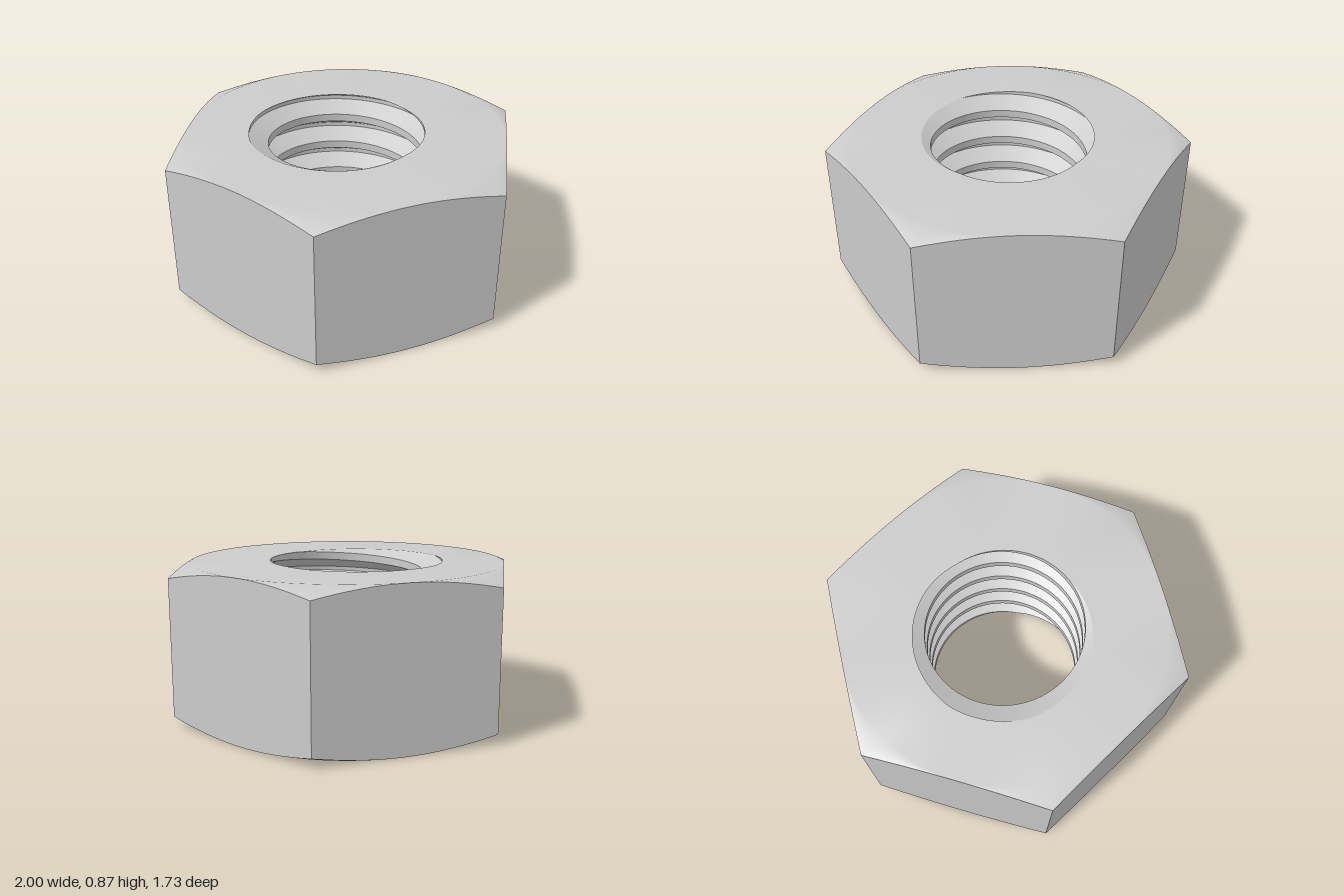
import * as THREE from 'three';
import { mergeGeometries } from 'three/addons/utils/BufferGeometryUtils.js';

const H = 0.866;          // nut height
const APOTHEM = 0.866;    // half the width across flats
const CHAMFER = 0.055;    // corner drop of the chamfer
const MINOR = 0.428, MAJOR = 0.53, PITCH = 0.1775;
const PHASE = 157;        // angle where a groove centre meets the top face
const ROOT = 23, FLANK = 135; // half widths of groove root and mouth, degrees
const SEG = 180;

// Bore radius at an angle (degrees) and height, following a right-hand thread
function boreRadius(deg, y) {
  const d = deg - PHASE - 360 * (y - H) / PITCH;
  const a = Math.abs(d - 360 * Math.round(d / 360));
  const t = THREE.MathUtils.clamp((FLANK - a) / (FLANK - ROOT), 0, 1);
  return MINOR + (MAJOR - MINOR) * t;
}

// Outer hexagon radius, corners on multiples of 60 degrees
function hexRadius(deg) {
  const a = (((deg % 60) + 60) % 60) - 30;
  return APOTHEM / Math.cos(THREE.MathUtils.degToRad(a));
}
const chamferDrop = (r) => CHAMFER * (r - APOTHEM) / (1 - APOTHEM);

// Skin joining rows around the axis; each row maps degrees to [radius, height]
function skin(rows, closed = true) {
  const cols = closed ? SEG : SEG + 1;
  const pos = [], index = [], pts = [];
  for (const row of rows) {
    for (let i = 0; i < cols; i++) {
      const deg = i * 360 / SEG, a = THREE.MathUtils.degToRad(deg);
      const [r, y] = row(deg);
      const p = new THREE.Vector3(r * Math.cos(a), y, -r * Math.sin(a));
      pts.push(p);
      pos.push(p.x, p.y, p.z);
    }
  }
  const tri = new THREE.Triangle();
  const add = (a, b, c) => {
    tri.set(pts[a], pts[b], pts[c]);
    if (tri.getArea() > 1e-9) index.push(a, b, c);
  };
  for (let j = 0; j < rows.length - 1; j++) {
    for (let i = 0; i < SEG; i++) {
      const n = (i + 1) % cols;
      const a = j * cols + i, b = j * cols + n;
      const c = a + cols, d = b + cols;
      add(a, b, d);
      add(a, d, c);
    }
  }
  const g = new THREE.BufferGeometry();
  g.setAttribute('position', new THREE.Float32BufferAttribute(pos, 3));
  g.setIndex(index);
  g.computeVertexNormals();
  return g;
}

// Helical thread, one smooth strip for each crest, flank and root, clipped to the nut
function threadGeometry() {
  const row = (d) => (deg) => {
    const y = THREE.MathUtils.clamp(H + PITCH * (deg - PHASE - d) / 360, 0, H);
    return [boreRadius(deg, y), y];
  };
  const breaks = [];
  for (let n = -2; n <= 7; n++) {
    for (const d of [-FLANK, -ROOT, ROOT, FLANK]) breaks.push(d + 360 * n);
  }
  const strips = [];
  for (let k = 0; k < breaks.length - 1; k++) {
    const g = skin([row(breaks[k]), row(breaks[k + 1])], false);
    if (g.index.count > 0) strips.push(g);
  }
  return mergeGeometries(strips);
}

export function createModel() {
  const nut = new THREE.Group();
  nut.name = 'hexNut';
  const smooth = new THREE.MeshStandardMaterial({ color: 0xcccccc });
  const flat = new THREE.MeshStandardMaterial({ color: 0xcccccc, flatShading: true });
  const add = (name, geometry, material) => {
    const mesh = new THREE.Mesh(geometry, material);
    mesh.name = name;
    nut.add(mesh);
  };

  // Edges shared by the faces
  const hexTop = (deg) => [hexRadius(deg), H - chamferDrop(hexRadius(deg))];
  const hexBottom = (deg) => [hexRadius(deg), chamferDrop(hexRadius(deg))];
  const circle = (y) => () => [APOTHEM, y];
  const rim = (y) => (deg) => [boreRadius(deg, y), y];

  // Six flats with arched edges
  add('hexSides', skin([hexBottom, hexTop]), flat);
  // Chamfered faces, blending softly into the conical corners
  add('topFace', skin([hexTop, circle(H), rim(H)]), smooth);
  add('bottomFace', skin([rim(0), circle(0), hexBottom]), smooth);
  // Threaded hole
  add('innerThread', threadGeometry(), smooth);
  return nut;
}
